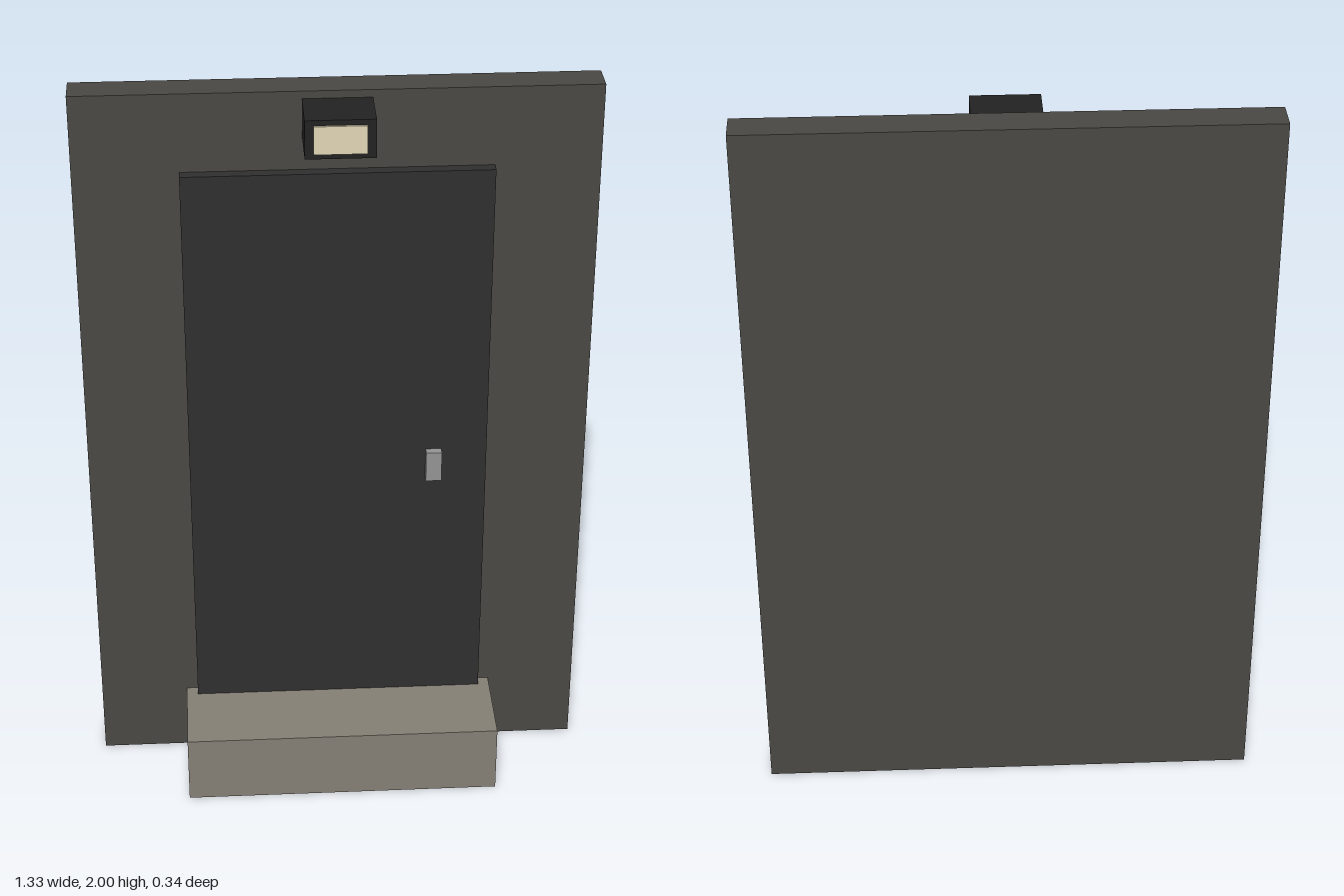
import * as THREE from 'three';

// Box given by its min and max extents on each axis
function block(name, color, [x0, x1], [y0, y1], [z0, z1]) {
  const mesh = new THREE.Mesh(
    new THREE.BoxGeometry(x1 - x0, y1 - y0, z1 - z0),
    new THREE.MeshStandardMaterial({ color })
  );
  mesh.position.set((x0 + x1) / 2, (y0 + y1) / 2, (z0 + z1) / 2);
  mesh.name = name;
  return mesh;
}

export function createModel() {
  const model = new THREE.Group();
  model.name = 'doorway';

  // Wall slab and the step in front of it
  model.add(block('wall', 0x4a4843, [-0.665, 0.665], [0, 2], [-0.168, -0.08]));
  model.add(block('step', 0x857f75, [-0.427, 0.427], [0, 0.195], [-0.08, 0.168]));

  // Door leaf with its handle
  const door = new THREE.Group();
  door.name = 'door';
  door.add(block('doorPanel', 0x2f2f2f, [-0.396, 0.396], [0.195, 1.79], [-0.08, -0.05]));
  door.add(block('handle', 0x949494, [0.233, 0.275], [0.893, 0.98], [-0.05, -0.028]));
  model.add(door);

  // Lamp over the door with a thin, slightly proud lens
  const lamp = new THREE.Group();
  lamp.name = 'lamp';
  lamp.add(block('lampHousing', 0x222222, [-0.088, 0.088], [1.878, 1.98], [-0.08, 0.055]));
  lamp.add(block('lampLens', 0xe0d6b6, [-0.066, 0.066], [1.892, 1.966], [0.05, 0.061]));
  model.add(lamp);

  return model;
}
